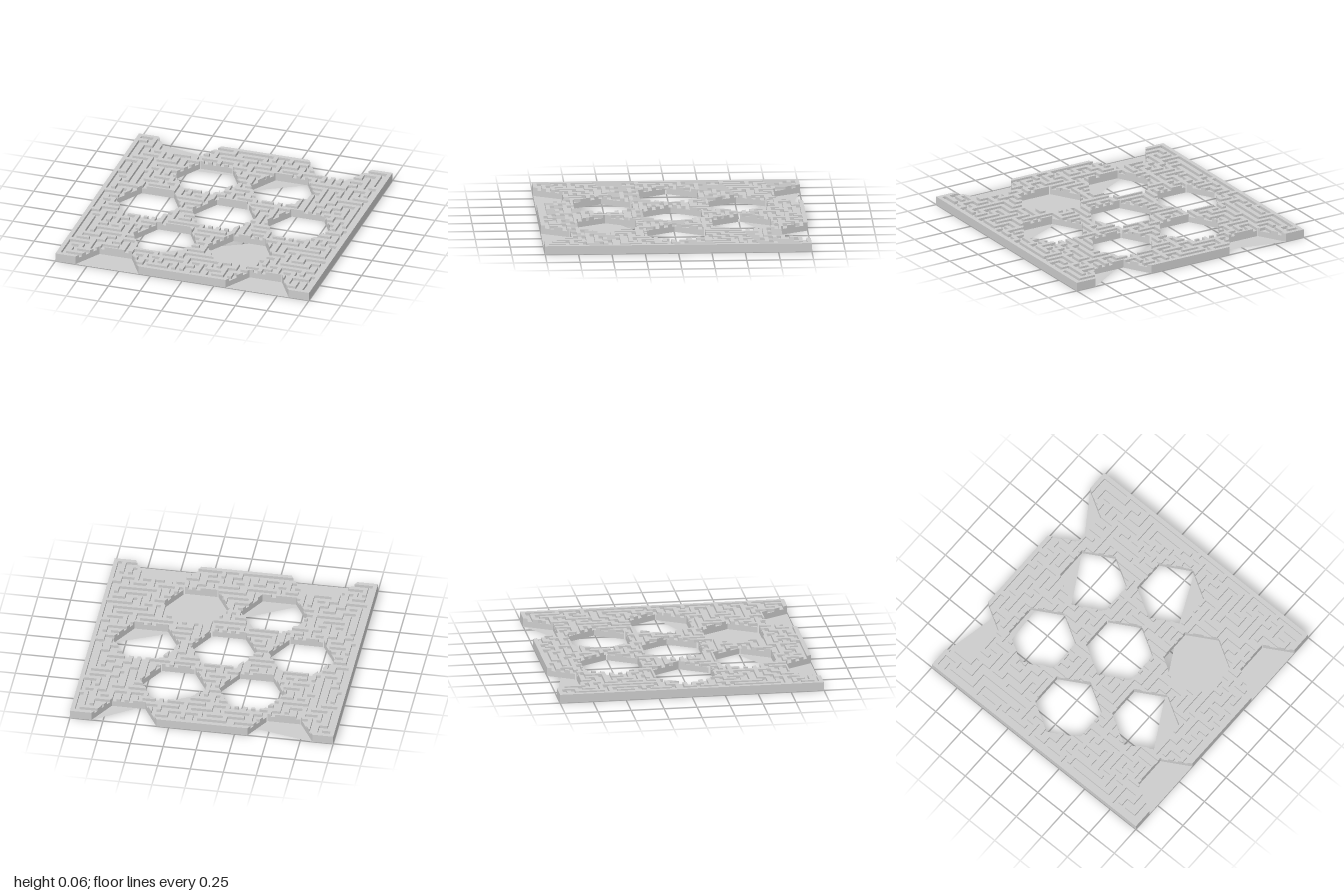
import * as THREE from 'three';

const TOP = 0.065, FLOOR = 0.043;      // wall tops and groove floor
const CELLS = 31, N = CELLS * 2 + 1, UNIT = 2 / N;

// Seeded random numbers
function seeded(seed) {
  return () => (seed = (seed * 16807) % 2147483647) / 2147483647;
}

// Depth-first maze on an N x N grid: true = raised wall, false = groove
function makeMaze() {
  const rand = seeded(4711);
  const wall = Array.from({ length: N }, () => new Array(N).fill(true));
  const stack = [[1, 1]];
  wall[1][1] = false;
  while (stack.length) {
    const [i, j] = stack[stack.length - 1];
    const open = [[2, 0], [-2, 0], [0, 2], [0, -2]].filter(([a, b]) => wall[i + a]?.[j + b]);
    if (!open.length) { stack.pop(); continue; }
    const [a, b] = open[Math.floor(rand() * open.length)];
    wall[i + a / 2][j + b / 2] = wall[i + a][j + b] = false;
    stack.push([i + a, j + b]);
  }
  return wall;
}

// Polygons are lists of [x, z]; side > 0 means p lies left of a -> b
const side = (a, b, p) => (b[0] - a[0]) * (p[1] - a[1]) - (b[1] - a[1]) * (p[0] - a[0]);

// Keep the part of a convex polygon to the left of the line a -> b
function cut(poly, a, b) {
  const out = [];
  poly.forEach((p, i) => {
    const q = poly[(i + 1) % poly.length];
    const sp = side(a, b, p), sq = side(a, b, q);
    if (sp >= 0) out.push(p);
    if (sp * sq < 0) {
      const t = sp / (sp - sq);
      out.push([p[0] + (q[0] - p[0]) * t, p[1] + (q[1] - p[1]) * t]);
    }
  });
  return out;
}

function area(poly) {
  let s = 0;
  for (let i = 1; i + 1 < poly.length; i++) s += side(poly[0], poly[i], poly[i + 1]);
  return s / 2;
}

// Remove a convex hole from convex polygons, leaving convex pieces
function subtract(polys, hole) {
  return polys.flatMap((poly) => {
    const pieces = [];
    let rest = poly;
    hole.forEach((a, i) => {
      const b = hole[(i + 1) % hole.length];
      const outside = cut(rest, b, a);
      if (area(outside) > 1e-9) pieces.push(outside);
      rest = cut(rest, a, b);
    });
    return area(rest) > 1e-9 ? pieces : [poly];
  });
}

const rect = (x0, z0, x1, z1) => [[x0, z0], [x1, z0], [x1, z1], [x0, z1]];

function hexagon(col, row) {
  return Array.from({ length: 6 }, (_, k) => [
    0.296 * col - 0.002 + 0.255 * Math.cos(k * Math.PI / 3),
    0.506 * row - 0.002 + 0.255 * Math.sin(k * Math.PI / 3),
  ]);
}

// Hex openings: column, row, and the line that limits the opening in the base
// sheet (open on its left); null = fully open, 'closed' = fully covered
const HOLES = [
  [-2, 0, null],
  [0, 0, null],
  [2, 0, [[0.845, 0.015], [0.455, 0.195]]],
  [-1, -1, [[-0.455, -0.685], [-0.155, -0.70]]],
  [1, -1, [[0.04, -0.515], [0.42, -0.73]]],
  [-1, 1, [[-0.05, 0.485], [-0.44, 0.70]]],
  [1, 1, [[0.295, 0.282], [0.11, 0.385]]],
  [-2, -2, [[-0.40, -0.905], [-0.84, -1]]],
  [2, -2, [[0.835, -1], [0.53, -0.795]]],
  [-2, 2, 'closed'],
  [2, 2, 'closed'],
];

// Upward-facing fan at height y
function addFace(pos, poly, y) {
  for (let i = 1; i + 1 < poly.length; i++) {
    for (const p of [poly[0], poly[i + 1], poly[i]]) pos.push(p[0], y, p[1]);
  }
}

// Outward-facing upright strip under the edge a -> b
function addSide(pos, a, b, lo, hi) {
  pos.push(a[0], lo, a[1], a[0], hi, a[1], b[0], lo, b[1]);
  pos.push(b[0], lo, b[1], a[0], hi, a[1], b[0], hi, b[1]);
}

function makeMesh(name, pos, doubleSided) {
  const geometry = new THREE.BufferGeometry();
  geometry.setAttribute('position', new THREE.Float32BufferAttribute(pos, 3));
  geometry.computeVertexNormals();
  const material = new THREE.MeshStandardMaterial({ color: 0xcccccc, flatShading: true });
  if (doubleSided) material.side = THREE.DoubleSide;
  const mesh = new THREE.Mesh(geometry, material);
  mesh.name = name;
  return mesh;
}

export function createModel() {
  const group = new THREE.Group();
  group.name = 'mazePlate';
  const maze = makeMaze();
  const hexes = HOLES.map(([col, row]) => hexagon(col, row));

  const inHex = (p) => hexes.some((h) => h.every((a, i) => side(a, h[(i + 1) % 6], p) > 0));
  const heightAt = (p) => {
    if (Math.abs(p[0]) > 1 || Math.abs(p[1]) > 1 || inHex(p)) return 0;
    const i = Math.min(N - 1, Math.floor((p[0] + 1) / UNIT));
    const j = Math.min(N - 1, Math.floor((p[1] + 1) / UNIT));
    return maze[i][j] ? TOP : FLOOR;
  };

  // Raised maze walls, groove floors, and the sides wherever the height drops
  const walls = [], grooves = [], sides = [];
  for (let i = 0; i < N; i++) {
    for (let j = 0; j < N; j++) {
      const h = maze[i][j] ? TOP : FLOOR;
      const cell = rect(-1 + i * UNIT, -1 + j * UNIT, -1 + (i + 1) * UNIT, -1 + (j + 1) * UNIT);
      for (const piece of hexes.reduce(subtract, [cell])) {
        addFace(maze[i][j] ? walls : grooves, piece, h);
        piece.forEach((a, k) => {
          const b = piece[(k + 1) % piece.length];
          const dx = b[0] - a[0], dz = b[1] - a[1], len = Math.hypot(dx, dz);
          if (len < 1e-6) return;
          const e = 1e-4 / len;
          const low = heightAt([(a[0] + b[0]) / 2 + dz * e, (a[1] + b[1]) / 2 - dx * e]);
          if (low < h) addSide(sides, a, b, low, h);
        });
      }
    }
  }
  group.add(makeMesh('mazeWallTops', walls));
  group.add(makeMesh('grooveFloor', grooves));
  group.add(makeMesh('wallAndHoleSides', sides));

  // Thin base sheet that partly covers some of the hex openings
  const openings = HOLES.map(([, , line], i) => (Array.isArray(line) ? cut(hexes[i], ...line) : hexes[i]))
    .filter((_, i) => HOLES[i][2] !== 'closed');
  const base = [];
  for (const piece of openings.reduce(subtract, [rect(-1, -1, 1, 1)])) addFace(base, piece, 0);
  group.add(makeMesh('baseSheet', base, true));

  return group;
}
